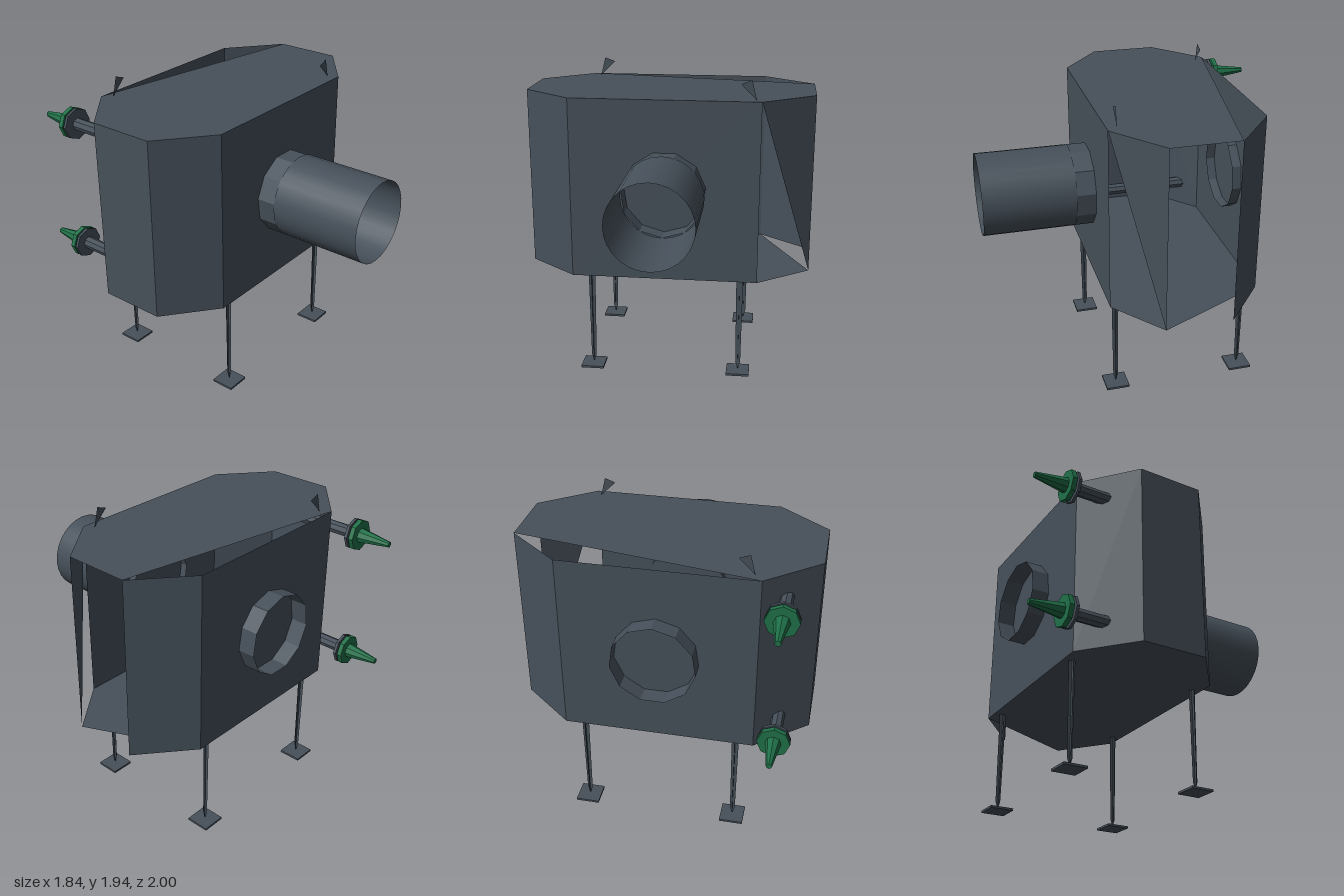
import * as THREE from 'three';

const grey = new THREE.MeshStandardMaterial({ color: 0x46505a, flatShading: true, side: THREE.DoubleSide });
const green = new THREE.MeshStandardMaterial({ color: 0x1f7048, flatShading: true, side: THREE.DoubleSide });
const smoothGrey = new THREE.MeshStandardMaterial({ color: 0x46505a, side: THREE.DoubleSide });

const BOTTOM = 0.66, TOP = 1.82;

export function createModel() {
  const model = new THREE.Group();

  function add(name, geometry, material = grey, parent = model) {
    const mesh = new THREE.Mesh(geometry, material);
    mesh.name = name;
    parent.add(mesh);
    return mesh;
  }

  // Flat polygon from [x, y] points
  const sheet = (points) =>
    new THREE.ShapeGeometry(new THREE.Shape(points.map(([x, y]) => new THREE.Vector2(x, y))));

  // Tube or cone along z, from z0 (radius r0) to z1 (radius r1)
  function along(z0, z1, r0, r1, sides, open) {
    return new THREE.CylinderGeometry(r1, r0, Math.abs(z1 - z0), sides, 1, open)
      .rotateX(z1 > z0 ? Math.PI / 2 : -Math.PI / 2)
      .translate(0, 0, (z0 + z1) / 2);
  }

  // Plan of the housing, [x, z]
  const frontR = [-0.6, 0.3], frontL = [0.59, 0.3];
  const sideLF = [0.92, 0.04], sideLB = [0.92, -0.38];
  const backL = [0.59, -0.65], backR = [-0.6, -0.65];
  const sideRB = [-0.92, -0.38], sideRF = [-0.92, 0.04];

  // Upright wall panels between plan corners; the left side is open
  function wall(name, a, b) {
    const g = new THREE.BufferGeometry();
    g.setAttribute('position', new THREE.Float32BufferAttribute([
      a[0], BOTTOM, a[1], b[0], BOTTOM, b[1], b[0], TOP, b[1], a[0], TOP, a[1]], 3));
    g.setIndex([0, 1, 2, 0, 2, 3]);
    g.computeVertexNormals();
    return add(name, g);
  }
  wall('frontPanel', frontR, frontL);
  wall('backPanel', backL, backR);
  wall('backLeftCornerPanel', sideLB, backL);
  wall('backRightCornerPanel', backR, sideRB);
  wall('rightPanel', sideRB, sideRF);
  wall('frontRightCornerPanel', sideRF, frontR);

  // Half-covered front left corner: only the upper triangle is closed
  const corner = wall('frontLeftCornerPanel', frontL, sideLF);
  corner.geometry.setIndex([1, 2, 3]);

  // Roof and floor, each with one piece open at the back left
  const roof = [frontR, frontL, sideLF, sideLB, backR, sideRB, sideRF];
  const floor = [frontR, frontL, sideLF, backL, backR, sideRB, sideRF];
  add('roof', sheet(roof).rotateX(Math.PI / 2)).position.y = TOP;
  add('floor', sheet(floor).rotateX(Math.PI / 2)).position.y = BOTTOM;

  // Large round ducts
  const ducts = new THREE.Group();
  ducts.name = 'ducts';
  ducts.position.y = 1.24;
  model.add(ducts);
  add('frontDuct', along(0.42, 1, 0.26, 0.26, 28, true), smoothGrey, ducts);
  add('frontDuctCollar', along(0.25, 0.42, 0.26, 0.26, 11, true), grey, ducts);
  add('backDuct', along(-0.59, -0.76, 0.26, 0.26, 11, true), grey, ducts);

  // Angle-section legs with pointed ends, on square feet
  const legProfile = [[-0.022, BOTTOM], [-0.016, 0.07], [0, 0.02], [0.016, 0.07], [0.022, BOTTOM]];
  for (const x of [-0.485, 0.48]) {
    for (const z of [0.245, -0.595]) {
      const leg = new THREE.Group();
      leg.name = 'leg';
      leg.position.set(x, 0, z);
      model.add(leg);
      add('legFlange', sheet(legProfile), grey, leg);
      add('legWeb', sheet(legProfile).rotateY(Math.PI / 2), grey, leg);
      add('foot', new THREE.BoxGeometry(0.15, 0.014, 0.15).translate(0, 0.007, 0), grey, leg).position.y = 0.004;
    }
  }

  // Lifting lugs on opposite corners of the roof
  for (const [side, z] of [[-1, -0.59], [1, 0.24]]) {
    const points = [[0.555, TOP], [0.525, 1.94], [0.458, 1.915]].map(([x, y]) => [side * x, y]);
    add('liftingLug', sheet(points)).position.z = z;
  }

  // Two drain lines, each with a flange pair and a tapered green nozzle
  for (const y of [1.66, 0.82]) {
    const line = new THREE.Group();
    line.name = 'drainLine';
    line.position.set(-0.733, y, 0);
    model.add(line);
    add('pipe', along(0.02, -0.74, 0.04, 0.04, 8, true), grey, line);
    add('pipeFlange', along(-0.735, -0.753, 0.1, 0.1, 8, false), grey, line);
    add('nozzleFlange', along(-0.765, -0.795, 0.1, 0.1, 8, false), green, line);
    add('nozzle', along(-0.75, -1, 0.055, 0.018, 8, false), green, line);
  }

  return model;
}
